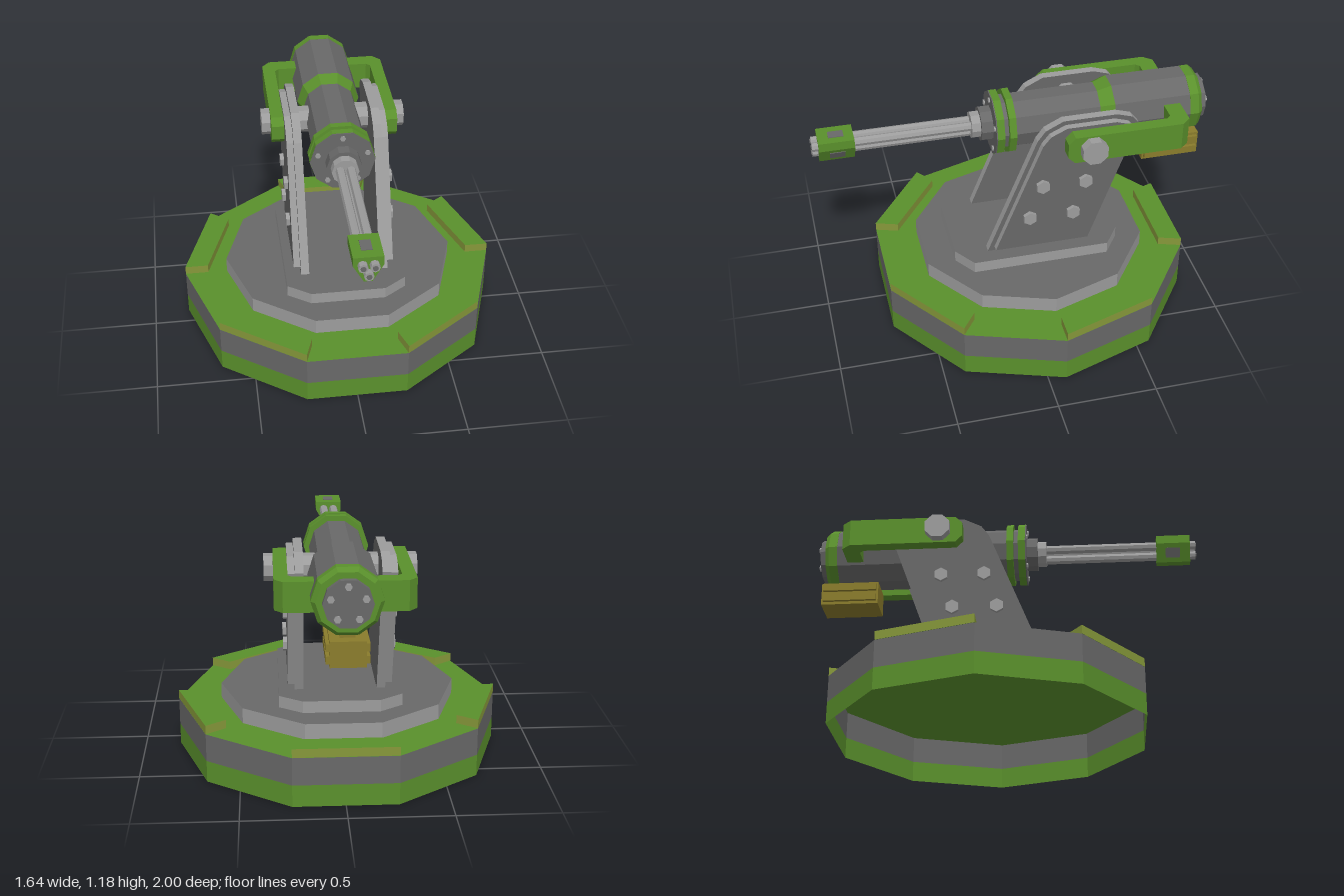
import * as THREE from 'three';

const material = (name, color) => {
  const m = new THREE.MeshStandardMaterial({ color, flatShading: true, side: THREE.DoubleSide });
  m.name = name;
  return m;
};

export function createModel() {
  const green = material('green paint', 0x5a902c);
  const lime = material('worn green edge', 0x86983a);
  const dark = material('dark steel', 0x686868);
  const light = material('light steel', 0x9c9c9c);
  const olive = material('ammo box olive', 0x8a7c2c);

  const model = new THREE.Group();
  model.name = 'gunTurret';
  const CZ = -0.09; // centre of the base
  const AY = 1.028; // height of the gun axis

  const add = (name, geo, mat, x = 0, y = 0, z = 0) => {
    const mesh = new THREE.Mesh(geo, mat);
    mesh.name = name;
    mesh.position.set(x, y, z);
    model.add(mesh);
    return mesh;
  };
  const box = (name, mat, x0, x1, y0, y1, z0, z1) =>
    add(name, new THREE.BoxGeometry(x1 - x0, y1 - y0, z1 - z0), mat,
      (x0 + x1) / 2, (y0 + y1) / 2, (z0 + z1) / 2);
  const shapeOf = (pts) => new THREE.Shape(pts.map(([a, b]) => new THREE.Vector2(a, b)));
  const extrude = (pts, depth) =>
    new THREE.ExtrudeGeometry(shapeOf(pts), { depth, bevelEnabled: false });
  // plan outline [x, z] raised from y0 to y1
  const slab = (name, mats, pts, y0, y1, z = 0) =>
    add(name, extrude(pts.map(([x, zz]) => [x, -zz]), y1 - y0).rotateX(-Math.PI / 2), mats, 0, y0, z);
  // side outline [z, y] spanning x0 to x1 on side s
  const sidePlate = (name, mats, pts, s, x0, x1) =>
    add(name, extrude(pts.map(([z, y]) => [-z, y]), x1 - x0).rotateY(Math.PI / 2), mats, s > 0 ? x0 : -x1);
  // cylinder along z, from z0 (radius r0) to z1 (radius r1)
  const rodZ = (name, mat, z0, z1, r0, r1 = r0, sides = 10, x = 0, y = AY) =>
    add(name, new THREE.CylinderGeometry(r1, r0, z1 - z0, sides, 1, false, Math.PI / 2)
      .rotateX(Math.PI / 2), mat, x, y, (z0 + z1) / 2);
  const rodX = (name, mat, x0, x1, r, sides, y, z) =>
    add(name, new THREE.CylinderGeometry(r, r, x1 - x0, sides, 1, false, Math.PI / sides)
      .rotateZ(Math.PI / 2), mat, (x0 + x1) / 2, y, z);

  // Ten-sided hollow base
  const decagon = (r) => Array.from({ length: 10 }, (_, k) =>
    [r * Math.cos(k * Math.PI / 5), -r * Math.sin(k * Math.PI / 5)]);
  const wall = (name, mat, y0, y1) =>
    add(name, new THREE.CylinderGeometry(0.82, 0.82, y1 - y0, 10, 1, true, Math.PI / 2), mat,
      0, (y0 + y1) / 2, CZ);
  wall('baseLowerBand', green, 0, 0.11);
  wall('baseUpperBand', dark, 0.11, 0.25);
  add('baseTop', new THREE.CircleGeometry(0.82, 10).rotateX(-Math.PI / 2), green, 0, 0.25, CZ);

  // Raised rim blocks on every other edge
  const outer = decagon(0.82), inner = decagon(0.7);
  for (let k = 0; k < 10; k += 2) {
    slab('rimBlock', [green, lime], [outer[k], outer[k + 1], inner[k + 1], inner[k]], 0.251, 0.295, CZ);
  }

  // Turntable and chamfered mounting step
  slab('turntable', [dark, light], decagon(0.6), 0.251, 0.33, CZ);
  slab('mountingStep', [dark, light], [
    [0.305, -0.44], [0.19, -0.52], [-0.19, -0.52], [-0.305, -0.44],
    [-0.305, 0.26], [-0.19, 0.34], [0.19, 0.34], [0.305, 0.26]], 0.33, 0.39);

  // Uprights, bolts and carrying arms, mirrored
  const upright = [[0.175, 0.39], [-0.08, 1.03], [-0.12, 1.085], [-0.21, 1.13],
    [-0.48, 1.13], [-0.56, 1.105], [-0.597, 1.06], [-0.355, 0.39]];
  const cover = [[0.14, 0.415], [-0.1, 1.02], [-0.14, 1.07], [-0.22, 1.108],
    [-0.47, 1.108], [-0.54, 1.085], [-0.57, 1.05], [-0.345, 0.415]];
  for (const s of [1, -1]) {
    sidePlate('upright', [dark, light], upright, s, 0.183, 0.226);
    sidePlate('uprightCover', [dark, light], cover, s, 0.226, 0.26);
    for (const [z, y] of [[-0.1, 0.785], [-0.32, 0.785], [-0.035, 0.6], [-0.26, 0.6]]) {
      const x = s * 0.265;
      rodX('uprightBolt', light, x - 0.015, x + 0.015, 0.037, 6, y, z);
    }
    sidePlate('armSide', green, [[-0.7, 0.945], [-0.245, 0.945], [-0.21, 0.98],
      [-0.21, 1.055], [-0.245, 1.09], [-0.7, 1.09]], s, 0.26, 0.325);
    slab('armElbow', green, [[0.26, -0.7], [0.325, -0.7], [0.325, -0.79], [0.285, -0.835],
      [0.12, -0.835], [0.12, -0.75], [0.24, -0.75], [0.26, -0.73]].map(([x, z]) => [s * x, z]), 0.945, 1.09);
  }
  rodX('axle', light, -0.37, 0.37, 0.068, 8, 1.018, -0.335);

  // Gun body, back to front
  rodZ('rearCap', dark, -0.988, -0.95, 0.115);
  rodZ('tailBevel', green, -0.957, -0.935, 0.145, 0.165);
  rodZ('tailRing', green, -0.935, -0.89, 0.165);
  rodZ('rearBody', dark, -0.89, -0.5, 0.164);
  rodZ('bodyTaper', green, -0.5, -0.43, 0.164, 0.138);
  rodZ('frontBody', dark, -0.43, 0.1, 0.138);
  rodZ('rearCollar', green, 0.005, 0.04, 0.165);
  rodZ('frontCollar', green, 0.065, 0.102, 0.165);
  rodZ('frontPlate', dark, 0.1, 0.107, 0.164);
  rodZ('neck', dark, 0.105, 0.165, 0.088);
  rodZ('barrelSocket', light, 0.165, 0.21, 0.068);
  for (let k = 0; k < 5; k++) {
    const a = Math.PI / 2 + k * Math.PI * 0.4, c = Math.cos(a), n = Math.sin(a);
    rodZ('frontBolt', light, 0.105, 0.115, 0.014, 0.014, 6, 0.13 * c, AY + 0.13 * n);
    rodZ('rearBolt', light, -1, -0.985, 0.017, 0.017, 6, 0.082 * c, AY + 0.082 * n);
  }

  // Three barrels held by a three-cornered muzzle clamp
  const BY = 1.022;
  for (let k = 0; k < 3; k++) {
    const a = Math.PI / 6 + k * Math.PI * 2 / 3;
    const x = 0.031 * Math.cos(a), y = BY + 0.031 * Math.sin(a);
    rodZ('barrel', light, 0.2, 0.995, 0.023, 0.023, 8, x, y);
    rodZ('bore', dark, 0.994, 1, 0.013, 0.013, 8, x, y);
  }
  add('muzzleClamp', extrude([[-0.07, 1.077], [0.07, 1.077], [0.07, 1.032], [0.02, 0.945],
    [-0.02, 0.945], [-0.07, 1.032]], 0.175), green, 0, 0, 0.79);
  for (const [x, y, turn] of [[0, 1.077, 0], [0.045, 0.9885, -1], [-0.045, 0.9885, 1]]) {
    const vent = add('muzzleVent', new THREE.BoxGeometry(0.052, 0.006, 0.075), dark, x, y, 0.875);
    vent.rotation.z = turn * Math.PI * 2 / 3;
  }

  // Ammunition box under the rear body
  box('ammoNeck', olive, -0.035, 0.035, 0.845, 0.885, -0.92, -0.73);
  box('ammoBox', olive, -0.083, 0.083, 0.73, 0.853, -0.975, -0.675);
  for (const y of [0.745, 0.803]) box('ammoRib', olive, -0.1, 0.1, y, y + 0.036, -0.965, -0.685);

  return model;
}
